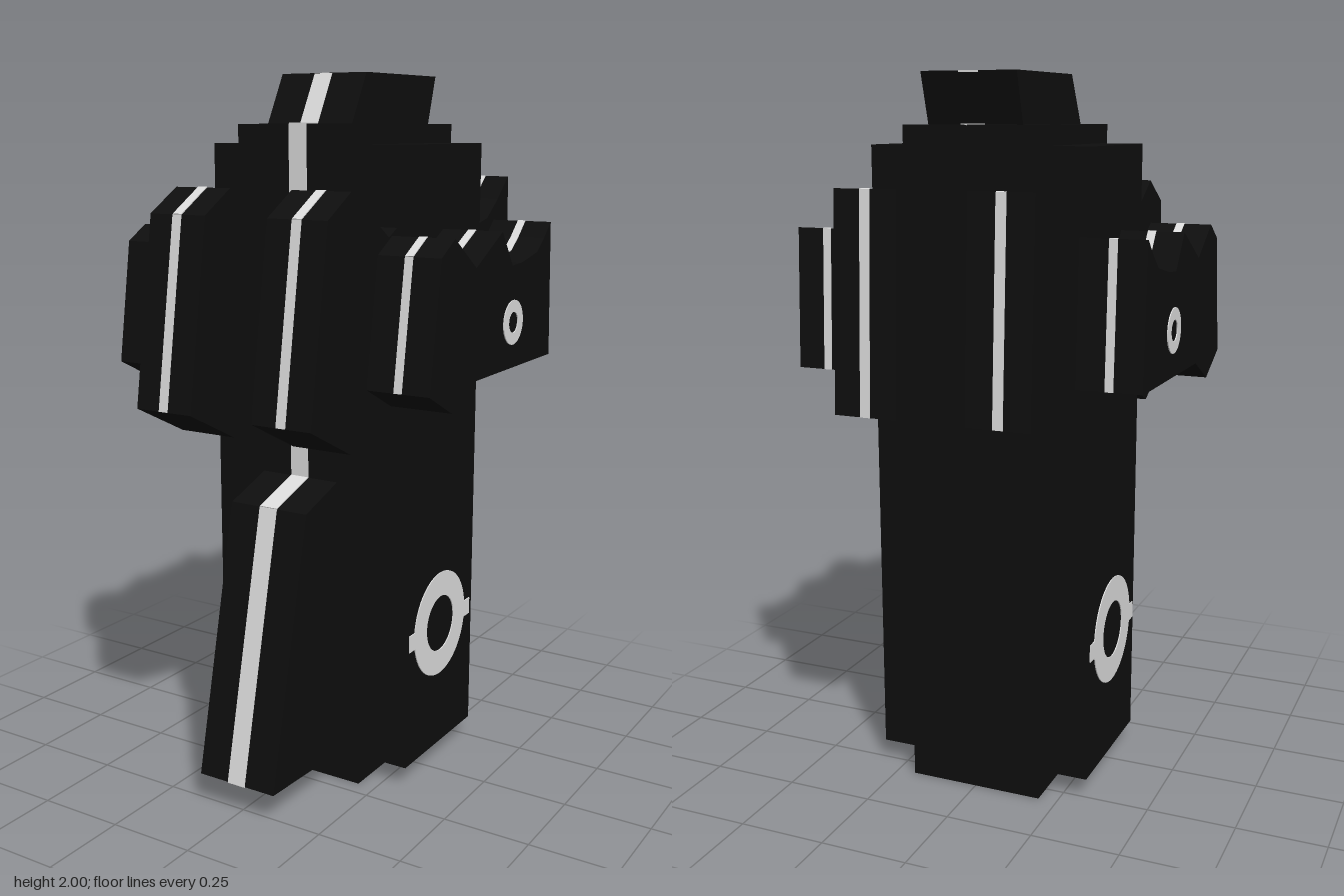
import * as THREE from 'three';

const black = new THREE.MeshStandardMaterial({ color: 0x0e0e0e });
black.name = 'black';
const white = new THREE.MeshStandardMaterial({ color: 0xdcdcdc });
white.name = 'lightGrey';

// Profiles are lists of [z, y]; they are extruded along x around a centre
const flip = pts => pts.map(([z, y]) => new THREE.Vector2(-z, y));

function extrude(name, shape, width, x, material) {
  const geo = new THREE.ExtrudeGeometry(shape, { depth: width, bevelEnabled: false, curveSegments: 32 });
  geo.translate(0, 0, -width / 2).rotateY(Math.PI / 2).translate(x, 0, 0);
  const mesh = new THREE.Mesh(geo, material);
  mesh.name = name;
  return mesh;
}

const slab = (name, pts, width, x = 0) =>
  extrude(name, new THREE.Shape(flip(pts)), width, x, black);

const box = (name, halfX, y0, y1, z0, z1) =>
  slab(name, [[z0, y0], [z1, y0], [z1, y1], [z0, y1]], halfX * 2);

// Thin plates following a profile edge
function stripe(name, pts, width, x = 0) {
  const group = new THREE.Group();
  group.name = name;
  for (let i = 0; i < pts.length - 1; i++) {
    const [z0, y0] = pts[i], [z1, y1] = pts[i + 1];
    const plate = new THREE.Mesh(
      new THREE.BoxGeometry(width, 0.005, Math.hypot(z1 - z0, y1 - y0)), white);
    plate.position.set(x, (y0 + y1) / 2, (z0 + z1) / 2);
    plate.rotation.x = -Math.atan2(y1 - y0, z1 - z0);
    plate.name = name + 'Plate';
    group.add(plate);
  }
  return group;
}

// Flat ring lying on a side face
function ring(name, x, y, z, outer, inner) {
  const shape = new THREE.Shape().absarc(-z, y, outer, 0, Math.PI * 2);
  shape.holes.push(new THREE.Path().absarc(-z, y, inner, 0, Math.PI * 2, true));
  return extrude(name, shape, 0.008, x, white);
}

export function createModel() {
  const model = new THREE.Group();
  model.name = 'handheldDevice';

  // Body: narrow deep core inside a wide shallow shell
  model.add(box('core', 0.196, 0, 1.865, -0.31, 0.203));
  model.add(box('shell', 0.32, 0.058, 1.812, -0.257, 0.148));
  model.add(stripe('coreStripe', [[0.203, 0], [0.203, 1.865], [-0.31, 1.865]], 0.056));

  // Crest on top
  const crest = [[0.147, 1.865], [0.073, 2], [-0.322, 2], [-0.28, 1.865]];
  model.add(slab('crest', crest, 0.27));
  const crestLine = [[0.147, 1.865], [0.073, 1.998], [-0.322, 1.998]];
  model.add(stripe('crestStripe', crestLine, 0.056));

  // Lower front fin
  const lower = [[0.2, 0.895], [0.36, 0.84], [0.53, 0.09], [0.2, 0.075]];
  model.add(slab('lowerFin', lower, 0.245));
  model.add(stripe('lowerFinStripe', lower, 0.056));

  // Upper fins: striped edge first, then the plain underside
  const edge = [
    [0.57, 1.125], [0.49, 1.635], [0.38, 1.7], [0.19, 1.575], [-0.046, 1.7],
    [-0.153, 1.555], [-0.24, 1.56], [-0.31, 1.573], [-0.4, 1.592], [-0.47, 1.645],
    [-0.54, 1.71], [-0.567, 1.13],
  ];
  const under = [[0.19, 1.125], [0.38, 1.03]];
  const small = pts => pts.map(([z, y]) => [z * 0.655, 1.14 + (y - 1.03) * 0.664]);

  for (const s of [1, -1]) {
    const side = s > 0 ? 'left' : 'right';
    model.add(slab(side + 'InnerFin', [...edge, ...under], 0.178, s * 0.186));
    model.add(stripe(side + 'InnerFinStripe', edge, 0.028, s * 0.186));
    model.add(slab(side + 'OuterFin', small([...edge, ...under]), 0.18, s * 0.408));
    model.add(stripe(side + 'OuterFinStripe', small(edge), 0.023, s * 0.408));

    // Rings on the outer fin and on the shell, the latter with two tabs
    model.add(ring(side + 'SmallRing', s * 0.497, 1.332, -0.11, 0.062, 0.029));
    model.add(ring(side + 'LargeRing', s * 0.319, 0.437, -0.05, 0.156, 0.083));
    for (const z of [0.113, -0.217]) {
      const tab = new THREE.Mesh(new THREE.BoxGeometry(0.008, 0.05, 0.046), white);
      tab.position.set(s * 0.319, 0.432, z);
      tab.name = side + 'RingTab';
      model.add(tab);
    }
  }
  return model;
}
